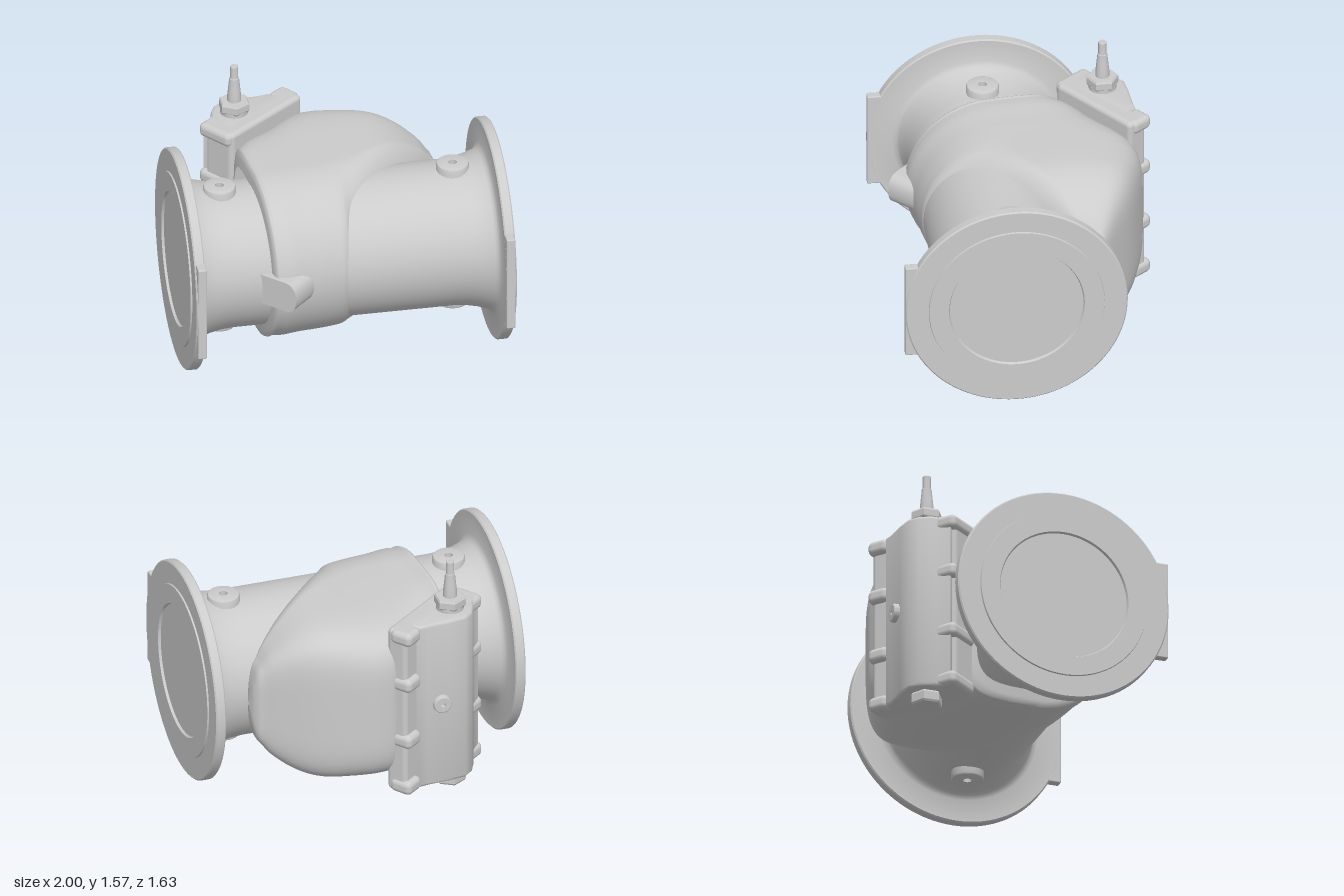
import * as THREE from 'three';
import { toCreasedNormals } from 'three/addons/utils/BufferGeometryUtils.js';
import { RoundedBoxGeometry } from 'three/addons/geometries/RoundedBoxGeometry.js';

const AXIS_Y = 0.682, AXIS_Z = 0.145;
const grey = new THREE.MeshStandardMaterial({ color: 0xcccccc });

function add(parent, name, geometry, x = 0, y = 0, z = 0) {
  const mesh = new THREE.Mesh(geometry, grey);
  mesh.name = name;
  mesh.position.set(x, y, z);
  parent.add(mesh);
  return mesh;
}

// Revolved profile of [radius, height] pairs with crisp edges
function lathe(points, segments = 48) {
  const geo = new THREE.LatheGeometry(points.map(p => new THREE.Vector2(...p)), segments);
  return toCreasedNormals(geo, 0.6);
}

// Round pad with a small blind hole in its top
const padGeometry = (r, h) => lathe([
  [r, 0], [r, h - 0.015], [r * 0.95, h - 0.004], [r * 0.86, h],
  [r * 0.26, h], [r * 0.26, h - 0.03], [0, h - 0.03]]);

// Bulging housing lofted along x: round at the front, boxy at the back
function housingGeometry() {
  // x, front z, middle z, back z, half height
  const stations = [
    [-0.475, 0.57, 0.14, -0.26, 0.44], [-0.465, 0.63, 0.14, -0.31, 0.51],
    [-0.43, 0.655, 0.12, -0.37, 0.53], [-0.25, 0.63, 0.1, -0.55, 0.535],
    [-0.08, 0.605, 0.08, -0.73, 0.535], [0, 0.585, 0.05, -0.745, 0.535],
    [0.05, 0.51, 0.04, -0.74, 0.535], [0.15, 0.38, 0, -0.715, 0.535],
    [0.3, 0.18, -0.1, -0.665, 0.525], [0.42, 0.05, -0.18, -0.61, 0.485],
    [0.55, -0.1, -0.25, -0.53, 0.4], [0.65, -0.23, -0.3, -0.46, 0.29],
    [0.71, -0.3, -0.33, -0.41, 0.15], [0.725, -0.34, -0.35, -0.36, 0.01]];
  const curve = new THREE.CubicInterpolant(
    stations.map(s => s[0]), stations.flatMap(s => s.slice(1)), 4, new Float32Array(4));
  const xs = [];
  stations.forEach((s, i) => {
    const next = stations[i + 1];
    if (next) for (let k = 0; k < 4; k++) xs.push(s[0] + (next[0] - s[0]) * k / 4);
    else xs.push(s[0]);
  });
  const N = 112, pos = [], index = [];
  xs.forEach((x, i) => {
    const [zf, zc, zb, h] = curve.evaluate(x);
    for (let j = 0; j < N; j++) {
      const t = j / N * Math.PI * 2, c = Math.cos(t), s = Math.sin(t);
      const e = c >= 0 ? 1 : 0.4;
      const z = zc + (c >= 0 ? zf - zc : zc - zb) * Math.sign(c) * Math.abs(c) ** e;
      const y = h * Math.sign(s) * Math.abs(s) ** e;
      const lean = 0.085 * (z - 0.65) * THREE.MathUtils.clamp(-x / 0.4, 0, 1);
      pos.push(x + lean, AXIS_Y + y, z);
      if (i < xs.length - 1) {
        const a = i * N + j, b = i * N + (j + 1) % N;
        index.push(a, a + N, b, b, a + N, b + N);
      }
    }
  });
  const geo = new THREE.BufferGeometry();
  geo.setAttribute('position', new THREE.Float32BufferAttribute(pos, 3));
  geo.setIndex(index);
  geo.computeVertexNormals();
  return geo;
}

// Extruded shape in plan, upright along y
function coverHumpGeometry() {
  const outline = [[-0.7, -0.48], [-0.645, -0.54], [-0.635, -0.59], [-0.605, -0.655],
    [-0.55, -0.7], [-0.45, -0.715], [-0.3, -0.725], [-0.25, -0.735], [-0.18, -0.67], [-0.55, -0.36]];
  const shape = new THREE.Shape(outline.map(([x, z]) => new THREE.Vector2(x, -z)));
  const geo = new THREE.ExtrudeGeometry(shape, {
    depth: 1.095, bevelSize: 0.02, bevelThickness: 0.02, bevelOffset: -0.02, bevelSegments: 3 });
  geo.rotateX(-Math.PI / 2);
  return toCreasedNormals(geo, 0.7);
}

export function createModel() {
  const model = new THREE.Group();
  model.name = 'checkValve';

  // Through pipe with a flange at each end
  const half = [[0.447, 0], [0.447, 0.68], [0.453, 0.76], [0.468, 0.83], [0.49, 0.895],
    [0.502, 0.912], [0.53, 0.925], [0.672, 0.925], [0.68, 0.933], [0.68, 0.982], [0.672, 0.99],
    [0.538, 0.99], [0.535, 1], [0.415, 1], [0.408, 0.985], [0, 0.985]];
  const pipe = lathe(half, 96);
  for (const s of [-1, 1]) {
    const side = s < 0 ? 'right' : 'left';
    add(model, side + 'FlangedPipe', pipe, 0, AXIS_Y, AXIS_Z).rotation.z = -s * Math.PI / 2;
    add(model, side + 'FlangeFoot', new RoundedBoxGeometry(0.055, 0.63, 0.3, 2, 0.008),
      s * 0.953, 0.685, 0.675);
    // Pads above and below each neck
    for (const v of [-1, 1]) {
      const pad = add(model, side + (v > 0 ? 'UpperPad' : 'LowerPad'), padGeometry(0.1, 0.12),
        s * 0.72, AXIS_Y + v * 0.374, AXIS_Z);
      if (v < 0) pad.rotation.x = Math.PI;
    }
  }

  add(model, 'housing', housingGeometry());

  // Slanted stop boss at the front, rounded on one end
  const stop = new THREE.Shape();
  stop.moveTo(-0.4, -0.1);
  stop.lineTo(-0.07, -0.1);
  stop.quadraticCurveTo(0, -0.09, 0, 0);
  stop.quadraticCurveTo(0, 0.09, -0.07, 0.1);
  stop.lineTo(-0.4, 0.1);
  const stopGeo = new THREE.ExtrudeGeometry(stop, { depth: 0.35, bevelEnabled: false });
  stopGeo.translate(0, 0, -0.35);
  add(model, 'stopBoss', toCreasedNormals(stopGeo, 0.6), -0.365, AXIS_Y, 0.765)
    .rotation.y = -Math.PI / 4;

  // Slanted cover: flange plates and bolt lugs, local -z pointing outwards
  const cover = new THREE.Group();
  cover.name = 'cover';
  cover.position.set(-0.32, AXIS_Y, -0.48);
  cover.rotation.y = 0.658;
  model.add(cover);
  add(cover, 'coverFlange', new RoundedBoxGeometry(0.64, 1.135, 0.14, 4, 0.03), 0.01, 0, -0.06);
  add(cover, 'hingeSideFlange', new RoundedBoxGeometry(0.2, 1.135, 0.21, 4, 0.03), -0.215, 0, -0.1);
  for (const y of [-0.522, -0.198, 0.198, 0.522]) {
    add(cover, 'hingeSideLug', new RoundedBoxGeometry(0.15, 0.092, 0.25, 4, 0.035), -0.26, y, -0.125);
    add(cover, 'freeSideLug', new RoundedBoxGeometry(0.14, 0.092, 0.15, 4, 0.035), 0.275, y, -0.092);
  }
  add(model, 'coverHump', coverHumpGeometry(), 0, 0.135, 0);
  add(model, 'coverPlug', padGeometry(0.058, 0.06), -0.39, AXIS_Y, -0.69).rotation.x = -Math.PI / 2;

  // Hinge shaft with a hexagonal nut above and a hexagonal plug below
  const sx = -0.495, sz = -0.56;
  const hex = (r, h) => {
    const geo = lathe([[0, 0], [r * 0.92, 0], [r, 0.012], [r, h - 0.012], [r * 0.92, h], [0, h]], 6)
      .toNonIndexed?.() ?? null;
    geo.computeVertexNormals();
    return geo;
  };
  add(model, 'shaftCollar', new THREE.CylinderGeometry(0.085, 0.085, 0.05, 32), sx, 1.252, sz);
  add(model, 'shaftNut', hex(0.098, 0.065), sx, 1.268, sz);
  add(model, 'lowerPlug', hex(0.098, 0.075), sx, 0.04, sz);
  add(model, 'shaft', lathe([[0.042, 1.3], [0.042, 1.37], [0.037, 1.42], [0.03, 1.49],
    [0.025, 1.492], [0.025, 1.572], [0.022, 1.576], [0, 1.576]], 32), sx, 0, sz);
  return model;
}
